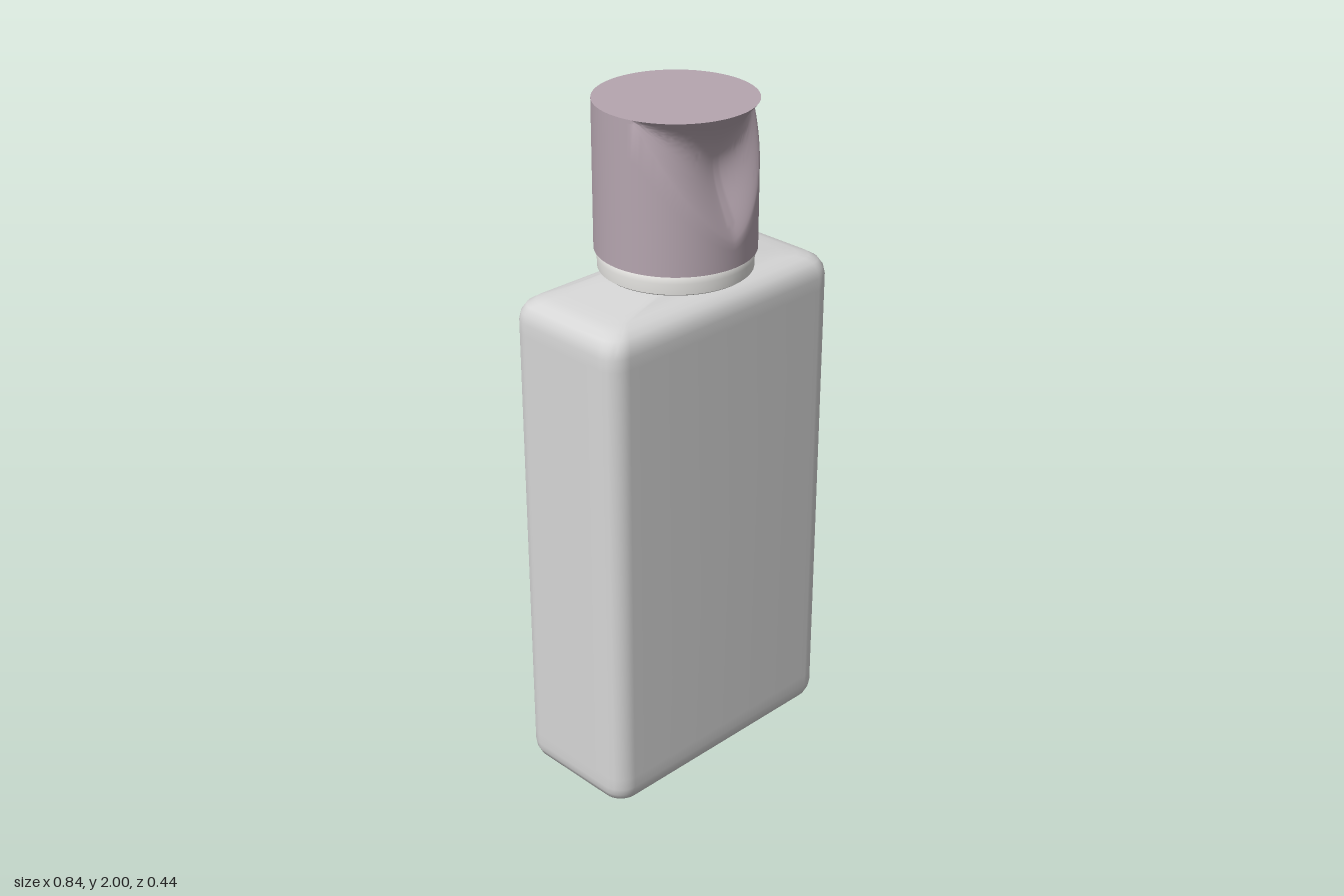
import * as THREE from 'three';
import { toCreasedNormals } from 'three/addons/utils/BufferGeometryUtils.js';

const mat = (name, color) => Object.assign(new THREE.MeshStandardMaterial({ color }), { name });

// Points around a rounded rectangle with half sizes hx, hz and corner radius r
function roundedRing(hx, hz, r, n = 10) {
  const pts = [];
  for (let q = 0; q < 4; q++) {
    const sx = q === 0 || q === 3 ? 1 : -1, sz = q < 2 ? 1 : -1;
    for (let i = 0; i <= n; i++) {
      const a = (q + i / n) * Math.PI / 2;
      pts.push([sx * (hx - r) + r * Math.cos(a), sz * (hz - r) + r * Math.sin(a)]);
    }
  }
  return pts;
}

// Closed skin over sections [y, hx, hz, r]
function loft(sections) {
  const pos = [], idx = [];
  let n = 0;
  for (const [y, hx, hz, r] of sections) {
    const ring = roundedRing(hx, hz, r);
    n = ring.length;
    ring.forEach(([x, z]) => pos.push(x, y, z));
  }
  const rows = sections.length, low = rows * n, high = low + 1;
  pos.push(0, sections[0][0], 0, 0, sections[rows - 1][0], 0);
  for (let i = 0; i < n; i++) {
    const j = (i + 1) % n;
    for (let k = 0; k < rows - 1; k++) {
      const a = k * n + i, b = k * n + j;
      idx.push(a, a + n, b, b, a + n, b + n);
    }
    idx.push(low, i, j, high, (rows - 1) * n + j, (rows - 1) * n + i);
  }
  const g = new THREE.BufferGeometry();
  g.setAttribute('position', new THREE.Float32BufferAttribute(pos, 3));
  g.setIndex(idx);
  return toCreasedNormals(g, 0.7);
}

// Cap wall with a thumb scoop pressed into the front, under a full round top
function capWall(r, y0, y1) {
  const rows = 32, lowRows = 4, segs = 128;
  const g = new THREE.CylinderGeometry(r, r, 1, segs, rows, true);
  const p = g.attributes.position;
  for (let i = 0; i < p.count; i++) {
    const row = rows - Math.floor(i / (segs + 1));
    const theta = (i % (segs + 1)) / segs * Math.PI * 2;
    const u = Math.min(1, r * (1 - Math.cos(theta)) / 0.162);
    const edge = Math.min(y1 - 0.012, 1.65 + 0.35 * Math.pow(u, 0.75));
    let y, rad = r;
    if (row <= lowRows) {
      y = y0 + (edge - y0) * row / lowRows;
    } else {
      const t = (row - lowRows) / (rows - lowRows);
      y = edge + (y1 - edge) * t;
      const depth = u < 1 ? 0.075 * (y1 - edge) / 0.35 : 0;
      rad -= depth * Math.sin(Math.PI * Math.pow(t, 1.3));
    }
    p.setXYZ(i, rad * Math.sin(theta), y, rad * Math.cos(theta));
  }
  return toCreasedNormals(g, 0.6);
}

export function createModel() {
  const model = new THREE.Group();
  model.name = 'bottle';
  const bodyGrey = mat('bodyGrey', 0xd6d6d6);
  const collarWhite = mat('collarWhite', 0xe2e1de);
  const capMauve = mat('capMauve', 0xb5a5af);
  const add = (name, geometry, material) => {
    const m = new THREE.Mesh(geometry, material);
    m.name = name;
    model.add(m);
    return m;
  };

  // Flat bottle with soft edges and a shoulder rising to the neck
  add('body', loft([
    [0, 0.34, 0.13, 0.04], [0.004, 0.365, 0.15, 0.045], [0.012, 0.39, 0.172, 0.05],
    [0.025, 0.41, 0.19, 0.055], [0.045, 0.419, 0.199, 0.06], [0.065, 0.421, 0.202, 0.06],
    [0.1, 0.421, 0.202, 0.06], [1.4, 0.421, 0.202, 0.06], [1.435, 0.421, 0.202, 0.06],
    [1.46, 0.417, 0.198, 0.06], [1.48, 0.405, 0.186, 0.055], [1.493, 0.385, 0.167, 0.05],
    [1.501, 0.355, 0.145, 0.045], [1.506, 0.31, 0.13, 0.045], [1.512, 0.26, 0.118, 0.05],
    [1.519, 0.21, 0.108, 0.06], [1.522, 0.18, 0.104, 0.07],
  ]), bodyGrey);

  // Neck hidden inside the collar
  const neck = add('neck', new THREE.CylinderGeometry(0.11, 0.11, 0.06, 48), bodyGrey);
  neck.position.y = 1.54;

  // Collar ring below the cap
  const collar = [[0, 1.526], [0.208, 1.526], [0.213, 1.53], [0.214, 1.56], [0.211, 1.578], [0.205, 1.585], [0, 1.585]];
  add('collar', toCreasedNormals(
    new THREE.LatheGeometry(collar.map(([x, y]) => new THREE.Vector2(x, y)), 64), 0.7), collarWhite);

  // Cap wall, top and underside
  add('capWall', capWall(0.222, 1.583, 2), capMauve);
  const top = add('capTop', new THREE.CircleGeometry(0.222, 128), capMauve);
  top.rotation.x = -Math.PI / 2;
  top.position.y = 2;
  const under = add('capUnderside', new THREE.CircleGeometry(0.222, 128), capMauve);
  under.rotation.x = Math.PI / 2;
  under.position.y = 1.583;

  return model;
}
